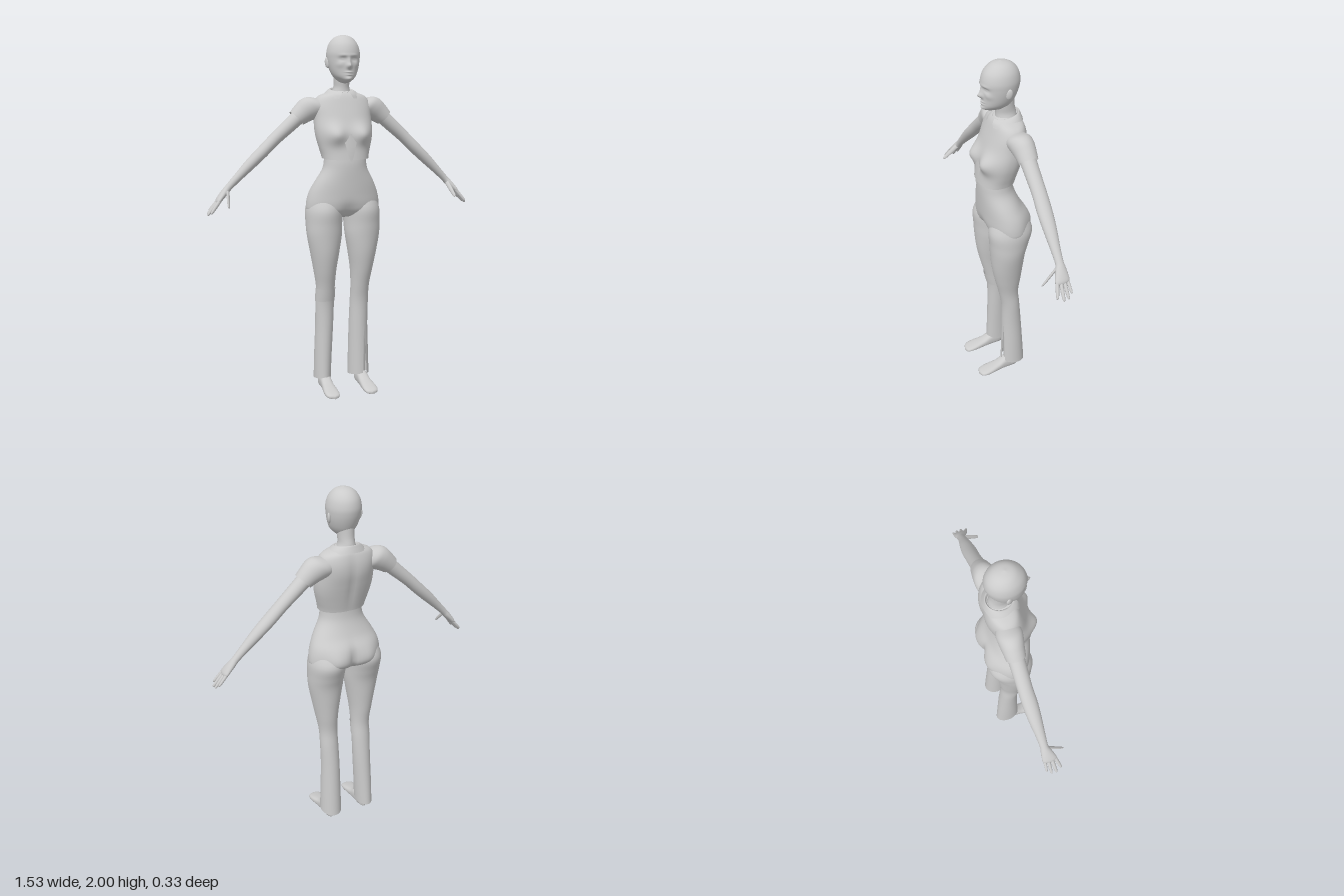
import * as THREE from 'three';
import { mergeVertices } from 'three/addons/utils/BufferGeometryUtils.js';

const grey = new THREE.MeshStandardMaterial({ color: 0xcccccc, side: THREE.DoubleSide });

// Smoothly resample rows of numbers
function resample(rows, steps) {
  const out = [], n = rows.length - 1;
  const at = (i, k) => rows[Math.min(n, Math.max(0, i))][k] ?? 0;
  const cols = Math.max(...rows.map((r) => r.length));
  for (let i = 0; i < n; i++) for (let s = 0; s < steps || (i === n - 1 && s === steps); s++) {
    const t = s / steps, row = [];
    for (let k = 0; k < cols; k++) {
      const a = at(i - 1, k), b = at(i, k), c = at(i + 1, k), d = at(i + 2, k);
      row.push(0.5 * (2 * b + (c - a) * t + (2 * a - 5 * b + 4 * c - d) * t * t + (3 * b - a - 3 * c + d) * t * t * t));
    }
    out.push(row);
  }
  return out;
}

// Skin rings given by centre c and half axes u, v; gap leaves a slit around angle g0
function loft(rows, ring, { steps = 4, seg = 32, power = 1, g0 = 0 } = {}) {
  const pos = [], index = [];
  const curve = (v) => Math.sign(v) * Math.abs(v) ** power;
  const rings = resample(rows, steps).map(ring);
  rings.forEach(({ c, u, v, gap = 0 }, j) => {
    for (let i = 0; i <= seg; i++) {
      const t = g0 + gap / 2 + ((2 * Math.PI - gap) * i) / seg;
      const a = curve(Math.cos(t)), b = curve(Math.sin(t));
      for (let k = 0; k < 3; k++) pos.push(c[k] + u[k] * a + v[k] * b);
      if (j && i) {
        const q = j * (seg + 1) + i, p = q - seg - 1;
        index.push(p - 1, p, q - 1, p, q, q - 1);
      }
    }
  });
  const geo = new THREE.BufferGeometry();
  geo.setAttribute('position', new THREE.Float32BufferAttribute(pos, 3));
  geo.setIndex(index);
  const welded = mergeVertices(geo, 1e-5);
  welded.computeVertexNormals();
  return welded;
}

// Row kinds: upright [y, xc, rx, zFront, zBack, tilt, gap]; limb [x, y, z, ru, rz]; foot [z, xc, rx, top]
const upright = ([y, x, rx, zf, zb, tilt = 0, gap = 0]) => ({
  c: [x, y, (zf + zb) / 2], u: [Math.max(0, rx), 0, 0], v: [0, tilt, Math.max(0, (zf - zb) / 2)], gap: Math.max(0, gap),
});
const limb = ([x, y, z, ru, rz]) => ({
  c: [x, y, z], u: [Math.max(0, ru) * 0.7, Math.max(0, ru) * 0.71, 0], v: [0, 0, Math.max(0, rz)],
});
const footRing = ([z, x, rx, top]) => ({ c: [x, top / 2, z], u: [Math.max(0, rx), 0, 0], v: [0, Math.max(0, top) / 2, 0] });

// Push vertices by soft bumps: [centre, spread, offset]
function sculpt(geo, bumps) {
  const p = geo.attributes.position, v = new THREE.Vector3();
  for (let i = 0; i < p.count; i++) {
    v.fromBufferAttribute(p, i);
    const q = v.toArray(), o = [0, 0, 0];
    for (const [c, s, d] of bumps) {
      const w = Math.exp(-c.reduce((sum, ck, k) => sum + ((q[k] - ck) / s[k]) ** 2, 0));
      for (let k = 0; k < 3; k++) o[k] += d[k] * w;
    }
    p.setXYZ(i, q[0] + o[0], q[1] + o[1], q[2] + o[2]);
  }
  geo.computeVertexNormals();
  return geo;
}
const both = (c, s, d) => [1, -1].map((m) => [[c[0] * m, c[1], c[2]], s, [d[0] * m, d[1], d[2]]]);

export function createModel() {
  const model = new THREE.Group();
  model.name = 'figure';
  const add = (name, geo, parent = model) => {
    const mesh = new THREE.Mesh(geo, grey);
    mesh.name = name;
    parent.add(mesh);
    return mesh;
  };

  // Head with brow, eyes, nose, lips and chin
  const head = loft([
    [2, 0, 0, -0.02, -0.02], [1.992, 0, 0.035, 0.018, -0.06], [1.975, 0, 0.06, 0.045, -0.09],
    [1.945, 0, 0.08, 0.07, -0.113], [1.905, 0, 0.09, 0.083, -0.123], [1.87, 0, 0.089, 0.082, -0.12],
    [1.835, 0, 0.083, 0.08, -0.11], [1.8, 0, 0.072, 0.08, -0.095], [1.775, 0, 0.058, 0.08, -0.08],
    [1.758, 0, 0.04, 0.075, -0.07], [1.746, 0, 0.025, 0.055, -0.06], [1.738, 0, 0, 0, 0],
  ], upright, { steps: 8, seg: 80 });
  add('head', sculpt(head, [
    [[0, 1.832, 0.08], [0.013, 0.014, 0.05], [0, 0, 0.022]],
    [[0, 1.855, 0.08], [0.009, 0.022, 0.05], [0, 0, 0.011]],
    ...both([0.032, 1.868, 0.075], [0.018, 0.011, 0.05], [0, 0, -0.01]),
    ...both([0.032, 1.868, 0.068], [0.011, 0.006, 0.05], [0, 0, 0.005]),
    ...both([0.028, 1.888, 0.075], [0.025, 0.008, 0.05], [0, 0, 0.004]),
    ...both([0.045, 1.838, 0.06], [0.018, 0.016, 0.05], [0.002, 0, 0.004]),
    [[0, 1.798, 0.08], [0.018, 0.005, 0.05], [0, 0, 0.007]],
    [[0, 1.786, 0.08], [0.016, 0.005, 0.05], [0, 0, 0.007]],
    [[0, 1.792, 0.08], [0.02, 0.002, 0.05], [0, 0, -0.004]],
    [[0, 1.763, 0.08], [0.018, 0.012, 0.05], [0, 0, 0.009]],
  ]));
  for (const side of [1, -1]) {
    const ear = add(side > 0 ? 'leftEar' : 'rightEar', new THREE.SphereGeometry(1, 16, 12));
    ear.scale.set(0.009, 0.029, 0.017);
    ear.position.set(side * 0.088, 1.85, -0.03);
    ear.rotation.set(-0.2, -side * 0.35, -side * 0.12);
  }
  add('neck', loft([
    [1.8, 0, 0.046, 0.015, -0.095], [1.75, 0, 0.043, 0.008, -0.098],
    [1.71, 0, 0.045, 0.004, -0.107], [1.66, 0, 0.07, 0.01, -0.115],
  ], upright));

  // Short shirt with an open hem
  const shirt = loft([
    [1.7, 0, 0.045, 0, -0.1], [1.688, 0, 0.09, 0.015, -0.115], [1.665, 0, 0.14, 0.03, -0.127],
    [1.62, 0, 0.162, 0.048, -0.135], [1.56, 0, 0.162, 0.07, -0.135], [1.5, 0, 0.163, 0.088, -0.125],
    [1.45, 0, 0.158, 0.096, -0.113], [1.4, 0, 0.146, 0.102, -0.1], [1.36, 0, 0.135, 0.108, -0.09],
    [1.335, 0, 0.13, 0.112, -0.086, -0.006],
  ], upright, { steps: 5, seg: 72, power: 0.88 });
  add('shirt', sculpt(shirt, [
    ...both([0.077, 1.465, 0.08], [0.055, 0.05, 0.07], [0, 0, 0.038]),
    ...both([0.07, 1.6, -0.13], [0.06, 0.07, 0.05], [0, 0, -0.006]),
    [[0, 1.5, -0.12], [0.02, 0.15, 0.04], [0, 0, 0.008]],
  ]));
  const w = 2 * Math.PI;
  add('shirtTail', loft([
    [1.47, 0, 0.15, 0.105, -0.1, 0, w - 0.6], [1.42, 0, 0.145, 0.111, -0.1, 0, w - 0.45],
    [1.37, 0, 0.135, 0.116, -0.09, 0, w - 0.3], [1.322, 0, 0.13, 0.119, -0.085, 0, w - 0.08],
  ], upright, { g0: -Math.PI / 2, seg: 8 }));
  add('collar', loft([
    [1.695, 0, 0.054, 0.012, -0.112, -0.006, 0.5], [1.706, 0, 0.064, 0.022, -0.12, -0.012, 0.55],
    [1.69, 0, 0.088, 0.038, -0.128, -0.012, 0.65], [1.668, 0, 0.108, 0.046, -0.136, -0.012, 0.8],
  ], upright, { g0: Math.PI / 2, steps: 5 }));

  // Hips, tucked under the shirt
  const hips = loft([
    [1.38, 0, 0.118, 0.09, -0.075], [1.32, 0, 0.119, 0.1, -0.076], [1.27, 0, 0.13, 0.102, -0.085],
    [1.2, 0, 0.17, 0.1, -0.112], [1.14, 0, 0.198, 0.097, -0.143], [1.08, 0, 0.211, 0.093, -0.15],
    [1.04, 0, 0.205, 0.08, -0.14], [1.01, 0, 0.15, 0.04, -0.1], [0.995, 0, 0, -0.03, -0.03],
  ], upright, { steps: 5, seg: 72, power: 0.95 });
  add('hips', sculpt(hips, [
    ...both([0.095, 1.07, -0.14], [0.07, 0.07, 0.06], [0, 0, -0.025]),
    [[0, 1.06, -0.15], [0.02, 0.08, 0.05], [0, 0, 0.02]],
    [[0, 1.04, 0.08], [0.05, 0.05, 0.05], [0, 0, -0.015]],
  ]));

  // Trouser legs; the left one flares and is slit at the front
  for (const side of [1, -1]) {
    const left = side > 0;
    const rows = [
      [1.13, 0.095, 0.09, 0.06, -0.12], [1.05, 0.109, 0.103, 0.09, -0.157], [0.97, 0.112, 0.102, 0.087, -0.137],
      [0.9, 0.112, 0.098, 0.083, -0.117], [0.8, 0.111, 0.081, 0.074, -0.106], [0.7, 0.109, 0.064, 0.055, -0.096],
      [0.6, 0.104, 0.053, 0.03, -0.086], [0.5, 0.104, 0.053, 0.012, -0.095],
      left ? [0.36, 0.102, 0.054, 0.01, -0.108, 0, 0] : [0.36, 0.106, 0.051, 0.01, -0.108],
      left ? [0.2, 0.104, 0.058, 0.012, -0.12, 0.003, 0.3] : [0.2, 0.112, 0.049, 0.012, -0.12, 0.003],
      left ? [0.055, 0.106, 0.061, 0.015, -0.13, 0.012, 0.5] : [0.055, 0.116, 0.047, 0.015, -0.13, 0.012],
    ].map(([y, x, ...rest]) => [y, x * side, ...rest]);
    const name = left ? 'left' : 'right';
    add(name + 'TrouserLeg', loft(rows, upright, { steps: 5, seg: 40, g0: 1.25 }));
    add(name + 'Shin', loft([
      [0.45, 0.105 * side, 0.04, 0, -0.08], [0.2, 0.11 * side, 0.033, 0, -0.08], [0.03, 0.112 * side, 0.028, 0, -0.075],
    ], upright));
    add(name + 'Foot', loft([
      [-0.083, 0.112, 0, 0.03], [-0.076, 0.112, 0.022, 0.06], [-0.05, 0.112, 0.032, 0.085], [0, 0.112, 0.033, 0.08],
      [0.045, 0.113, 0.035, 0.055], [0.1, 0.115, 0.041, 0.04], [0.14, 0.115, 0.039, 0.029],
      [0.16, 0.113, 0.027, 0.021], [0.168, 0.111, 0, 0.012],
    ].map(([z, x, rx, top]) => [z, x * side, rx, top]), footRing, { power: 0.8 }));
  }
  // Torn band over the right knee
  add('kneeBand', loft([
    [0.595, -0.104, 0.056, 0.034, -0.088, 0, 2.6], [0.55, -0.104, 0.056, 0.025, -0.092, 0.004, 2.6],
    [0.515, -0.104, 0.056, 0.018, -0.096, 0.008, 2.6],
  ], upright, { g0: -Math.PI / 2 }));

  // Arms: sleeve, bare arm, hand and fingers
  const arm = (name) => {
    const g = new THREE.Group();
    g.name = name;
    add('sleeve', loft([
      [0.1, 1.625, -0.055, 0.045, 0.05], [0.14, 1.615, -0.056, 0.072, 0.066], [0.18, 1.602, -0.058, 0.071, 0.064],
      [0.22, 1.578, -0.06, 0.06, 0.057], [0.256, 1.55, -0.06, 0.05, 0.051],
    ], limb, { steps: 5 }), g);
    add('bareArm', loft([
      [0.22, 1.58, -0.06, 0.042, 0.044], [0.3, 1.51, -0.06, 0.038, 0.041], [0.38, 1.44, -0.06, 0.034, 0.039],
      [0.45, 1.373, -0.057, 0.033, 0.04], [0.52, 1.308, -0.054, 0.03, 0.035], [0.59, 1.24, -0.05, 0.023, 0.026],
      [0.64, 1.19, -0.048, 0.019, 0.022], [0.66, 1.168, -0.045, 0.019, 0.028], [0.685, 1.14, -0.04, 0.017, 0.036],
      [0.705, 1.116, -0.036, 0.013, 0.037], [0.715, 1.106, -0.035, 0, 0],
    ], limb), g);
    const finger = (label, [x, y, z], [tx, ty, tz], r) => {
      const mid = (t, s) => [x + (tx - x) * t, y + (ty - y) * t, z + (tz - z) * t, r * s, r * s];
      add(label, loft([mid(0, 1.1), mid(0.5, 1), mid(0.85, 0.8), mid(0.96, 0.5), mid(1, 0)], limb, { seg: 12 }), g);
    };
    finger('indexFinger', [0.695, 1.125, -0.01], [0.75, 1.056, 0.012], 0.0095);
    finger('middleFinger', [0.7, 1.12, -0.027], [0.764, 1.044, -0.018], 0.0095);
    finger('ringFinger', [0.7, 1.12, -0.046], [0.762, 1.047, -0.045], 0.009);
    finger('littleFinger', [0.692, 1.128, -0.064], [0.748, 1.066, -0.068], 0.008);
    finger('thumb', [0.648, 1.172, -0.035], [0.663, 1.09, 0.055], 0.012);
    model.add(g);
    return g;
  };
  arm('leftArm');
  arm('rightArm').scale.x = -1;

  return model;
}
